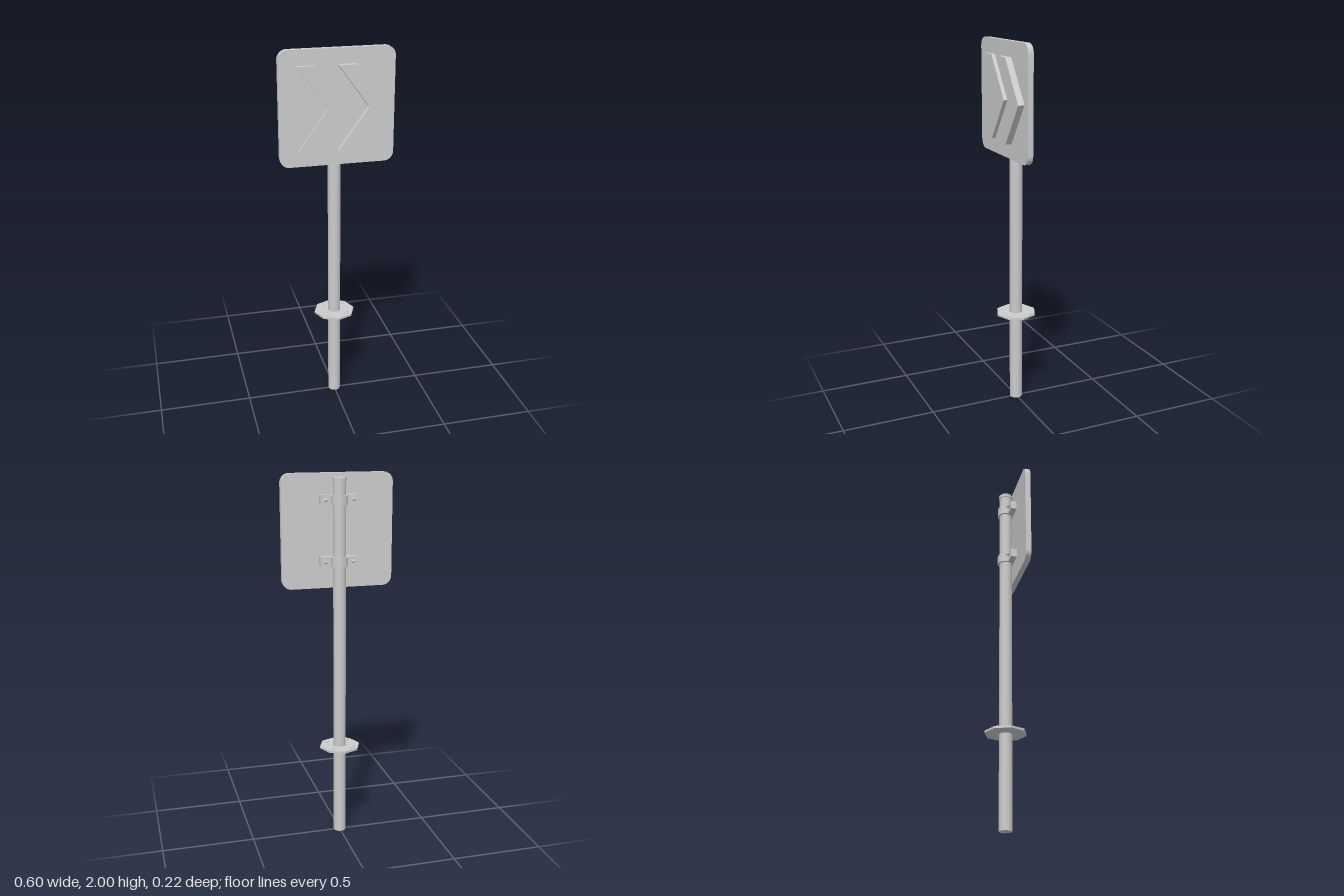
import * as THREE from 'three';
import { toCreasedNormals } from 'three/addons/utils/BufferGeometryUtils.js';

export function createModel() {
  const group = new THREE.Group();
  const grey = new THREE.MeshStandardMaterial({ color: 0xcccccc });
  grey.name = 'galvanised grey';

  const add = (name, geometry, x = 0, y = 0, z = 0) => {
    const mesh = new THREE.Mesh(geometry, grey);
    mesh.name = name;
    mesh.position.set(x, y, z);
    group.add(mesh);
    return mesh;
  };
  // Upright cylinder with a corner on the x axis
  const tube = (r, h, sides) => new THREE.CylinderGeometry(r, r, h, sides, 1, false, Math.PI / 2);
  const plate = (shape, depth) => toCreasedNormals(
    new THREE.ExtrudeGeometry(shape, { depth, bevelEnabled: false, curveSegments: 6 }), 0.6);

  // Post and its cap
  add('post', tube(0.035, 1.97, 10), 0, 0.985, 0);
  add('postCap', tube(0.04, 0.02, 10), 0, 1.97, 0);

  // Ground flange with four bolts
  add('flange', toCreasedNormals(tube(0.112, 0.012, 8), 0.5), 0, 0.511, 0);
  for (const x of [-0.057, 0.057]) for (const z of [-0.057, 0.057]) {
    add('flangeBolt', new THREE.OctahedronGeometry(0.014), x, 0.519, z);
  }

  // Rounded square panel
  const s = 0.3, c = 0.25, r = 0.05;
  const panel = new THREE.Shape();
  panel.absarc(c, c, r, 0, Math.PI / 2);
  panel.absarc(-c, c, r, Math.PI / 2, Math.PI);
  panel.absarc(-c, -c, r, Math.PI, Math.PI * 1.5);
  panel.absarc(c, -c, r, Math.PI * 1.5, Math.PI * 2);
  panel.lineTo(s, c);
  add('signPanel', plate(panel, 0.03), 0, 1.7, 0.04);

  // Raised chevrons, the second one thicker
  const chevron = new THREE.Shape([
    [0, 0.22], [0.16, 0], [0, -0.22], [0.1, -0.22], [0.26, 0], [0.1, 0.22],
  ].map(([x, y]) => new THREE.Vector2(x, y)));
  add('chevronRight', plate(chevron, 0.02), -0.21, 1.7, 0.07);
  add('chevronLeft', plate(chevron, 0.034), 0, 1.7, 0.07);

  // Clamps: collar round the post, bar behind the panel, two bolts
  for (const y of [1.865, 1.545]) {
    add('clampCollar', tube(0.046, 0.05, 10), 0, y, 0);
    add('clampBar', new THREE.BoxGeometry(0.2, 0.05, 0.032), 0, y, 0.024);
    for (const x of [-0.075, 0.075]) {
      add('clampBolt', new THREE.OctahedronGeometry(0.012), x, y, 0.005 - 0.01);
    }
  }
  return group;
}
